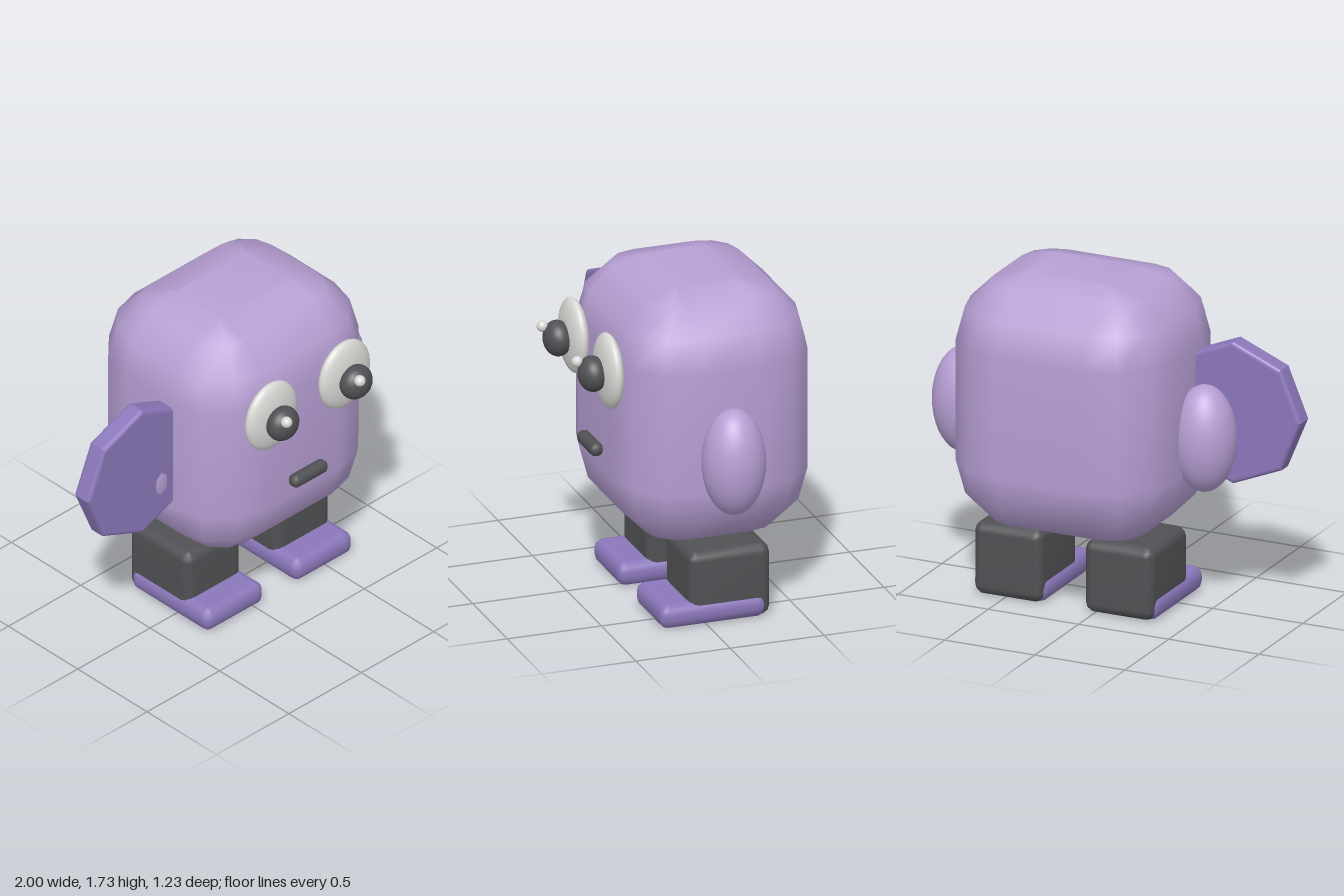
import * as THREE from 'three';

const mat = (name, color) => {
  const m = new THREE.MeshStandardMaterial({ color });
  m.name = name;
  return m;
};

// Rounded box: a sphere of rings whose eight octants are pushed out to the corners.
function roundedBox(w, h, d, r, seg = 3) {
  const steps = Array.from({ length: seg + 1 }, (_, i) => (i / seg) * Math.PI / 2);
  const [hx, hy, hz] = [w / 2 - r, h / 2 - r, d / 2 - r];
  const pos = [], idx = [];
  const n = 4 * (seg + 1), rings = 2 * (seg + 1);
  for (let half = 0; half < 2; half++) {
    for (const s of steps) {
      const lat = half ? s : s - Math.PI / 2;
      for (let q = 0; q < 4; q++) {
        const sx = q === 0 || q === 3 ? 1 : -1, sz = q < 2 ? 1 : -1;
        for (const t of steps) {
          const a = t + q * Math.PI / 2;
          pos.push(
            sx * hx + r * Math.cos(lat) * Math.cos(a),
            (half ? hy : -hy) + r * Math.sin(lat),
            sz * hz + r * Math.cos(lat) * Math.sin(a));
        }
      }
    }
  }
  for (let j = 0; j < rings - 1; j++) {
    for (let i = 0; i < n; i++) {
      const a = j * n + i, b = j * n + (i + 1) % n;
      idx.push(a, a + n, b, b, a + n, b + n);
    }
  }
  // flat bottom and top between the four corner points
  const k = seg + 1, top = (rings - 1) * n;
  idx.push(0, k, 2 * k, 0, 2 * k, 3 * k);
  idx.push(top, top + 2 * k, top + k, top, top + 3 * k, top + 2 * k);
  const g = new THREE.BufferGeometry();
  g.setAttribute('position', new THREE.Float32BufferAttribute(pos, 3));
  g.setIndex(idx);
  g.computeVertexNormals();
  return g;
}

export function createModel() {
  const model = new THREE.Group();
  model.name = 'roundRobot';
  const lilac = mat('lilac', 0xb79fd4);
  const violet = mat('violet', 0x8b77ba);
  const charcoal = mat('charcoal', 0x505154);
  const white = mat('white', 0xd8d8d5);

  const add = (name, geometry, material, x, y, z) => {
    const m = new THREE.Mesh(geometry, material);
    m.name = name;
    m.position.set(x, y, z);
    model.add(m);
    return m;
  };
  const ball = (name, material, x, y, z, rx, ry, rz) =>
    add(name, new THREE.SphereGeometry(1, 32, 20), material, x, y, z).scale.set(rx, ry, rz);

  const cx = 0.17; // the body's mirror axis
  add('body', roundedBox(1.18, 1.34, 1.02, 0.35), lilac, cx, 1.06, -0.1);
  add('mouth', roundedBox(0.235, 0.07, 0.07, 0.03), charcoal, cx, 0.85, 0.44);

  for (const [side, s] of [['left', 1], ['right', -1]]) {
    ball(side + 'Arm', lilac, cx + s * 0.665, 0.93, -0.08, 0.165, 0.28, 0.162);

    // eye with bulging pupil and glint
    const ex = cx + s * 0.253;
    ball(side + 'Eye', white, ex, 1.335, 0.435, 0.17, 0.196, 0.058);
    ball(side + 'Pupil', charcoal, ex, 1.33, 0.52, 0.092, 0.092, 0.073);
    ball(side + 'Glint', white, ex - 0.037, 1.39, 0.587, 0.029, 0.029, 0.029);

    // leg and shoe
    const lx = cx + s * 0.307;
    add(side + 'Leg', roundedBox(0.38, 0.384, 0.435, 0.05), charcoal, lx, 0.195, -0.127);
    add(side + 'Shoe', roundedBox(0.405, 0.127, 0.565, 0.05), violet, lx, 0.0635, -0.037);
  }

  // octagonal shield with a small bevel
  const bevel = 0.02, shape = new THREE.Shape();
  for (let i = 0; i < 8; i++) {
    const a = i * Math.PI / 4, r = 0.377 - bevel * 1.08;
    shape[i ? 'lineTo' : 'moveTo'](r * Math.cos(a), r * Math.sin(a));
  }
  shape.closePath();
  const shield = new THREE.ExtrudeGeometry(shape, {
    depth: 0.107 - 2 * bevel, bevelThickness: bevel, bevelSize: bevel, bevelSegments: 3,
  });
  add('shield', shield, violet, -0.623, 1.065, -0.03 + bevel);

  return model;
}
